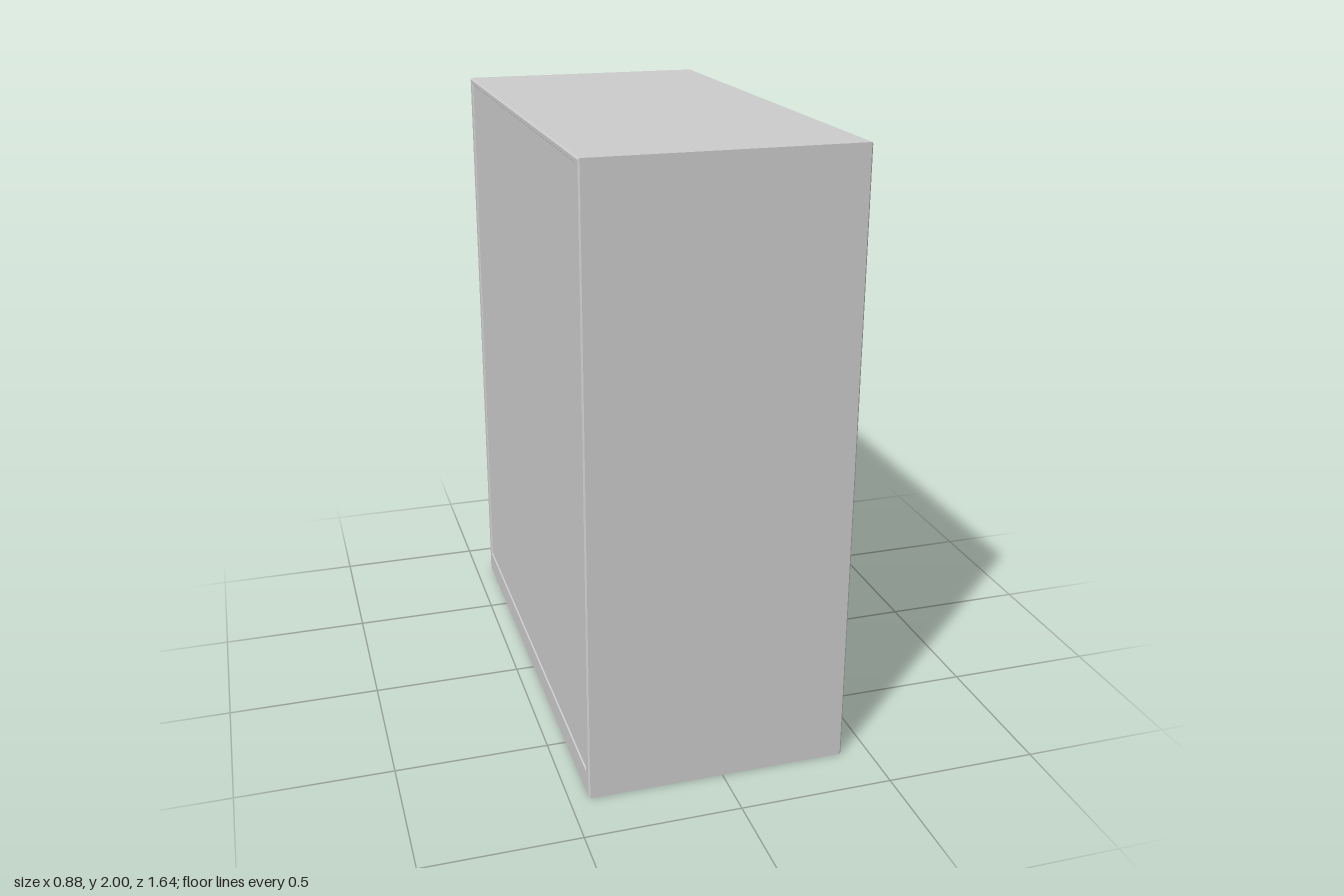
import * as THREE from 'three';

const grey = new THREE.MeshStandardMaterial({ color: 0xcccccc, flatShading: true });
const dark = new THREE.MeshStandardMaterial({ color: 0x2a1b1b });

export function createModel() {
  const root = new THREE.Group();
  root.name = 'wardrobe';

  const add = (name, geometry, material = grey, parent = root) => {
    const mesh = new THREE.Mesh(geometry, material);
    mesh.name = name;
    parent.add(mesh);
    return mesh;
  };

  // Box given by its limits on each axis
  const box = (name, x0, x1, y0, y1, z0, z1, parent = root) => {
    const mesh = add(name, new THREE.BoxGeometry(x1 - x0, y1 - y0, z1 - z0), grey, parent);
    mesh.position.set((x0 + x1) / 2, (y0 + y1) / 2, (z0 + z1) / 2);
    return mesh;
  };

  // Rectangular ring with bevelled edges, facing +x
  const rect = (Type, z0, z1, y0, y1) => {
    const p = new Type();
    p.moveTo(-z1, y0).lineTo(-z0, y0).lineTo(-z0, y1).lineTo(-z1, y1).closePath();
    return p;
  };
  const frame = (name, x0, x1, outer, inner, bevel, parent = root) => {
    const [a, b, c, d] = outer;
    const shape = rect(THREE.Shape, a, b, c, d);
    shape.holes.push(rect(THREE.Path, ...inner));
    const geometry = new THREE.ExtrudeGeometry(shape, {
      depth: x1 - x0 - 2 * bevel, bevelEnabled: true, bevelSegments: 1,
      bevelSize: bevel, bevelThickness: bevel, bevelOffset: -bevel,
    });
    geometry.rotateY(Math.PI / 2).translate(x0 + bevel, 0, 0);
    return add(name, geometry, grey, parent);
  };

  // Carcass: sides, top and deep plinth in one ring, closed by a back panel
  frame('carcass', -0.44, 0.41, [-0.82, 0.82, 0, 2], [-0.785, 0.785, 0.085, 1.978], 0.005);
  box('backPanel', -0.436, -0.415, 0.04, 1.99, -0.8, 0.8);
  box('divider', -0.42, 0.4, 0.08, 1.98, 0.118, 0.147);

  // Shelves: left bay, then right bay
  const shelf = (y0, y1, z0, z1) => box('shelf', -0.42, 0.398, y0, y1, z0, z1);
  [[1.665, 1.69], [1.25, 1.275]].forEach(([a, b]) => shelf(a, b, 0.147, 0.79));
  [[1.483, 1.51], [1.182, 1.2], [0.784, 0.808], [0.334, 0.36]]
    .forEach(([a, b]) => shelf(a, b, -0.79, 0.118));

  // Filler strips beside the drawers
  box('fillerStrip', -0.4, 0.385, 0.808, 1.182, 0.09, 0.118);
  box('fillerStrip', -0.4, 0.385, 0.808, 1.182, -0.785, -0.768);

  // Drawers with framed fronts and bar handles
  [[0.812, 0.99, 0.908], [0.996, 1.178, 1.09]].forEach(([y0, y1, handleY]) => {
    const drawer = new THREE.Group();
    drawer.name = 'drawer';
    root.add(drawer);
    box('drawerBody', -0.38, 0.39, y0 + 0.01, y1 - 0.01, -0.758, 0.08, drawer);
    frame('drawerFrontFrame', 0.378, 0.402, [-0.766, 0.088, y0, y1],
      [-0.75, 0.074, y0 + 0.014, y1 - 0.014], 0.003, drawer);

    const handle = new THREE.Group();
    handle.name = 'handle';
    handle.position.set(0.428, handleY, -0.328);
    drawer.add(handle);
    add('handleBar', new THREE.CylinderGeometry(0.012, 0.012, 0.295, 16).rotateX(Math.PI / 2), dark, handle);
    for (const side of [-1, 1]) {
      const post = add('handlePost', new THREE.CylinderGeometry(0.006, 0.006, 0.04, 12).rotateZ(Math.PI / 2), dark, handle);
      post.position.set(-0.02, 0, side * 0.132);
    }
  });

  return root;
}
